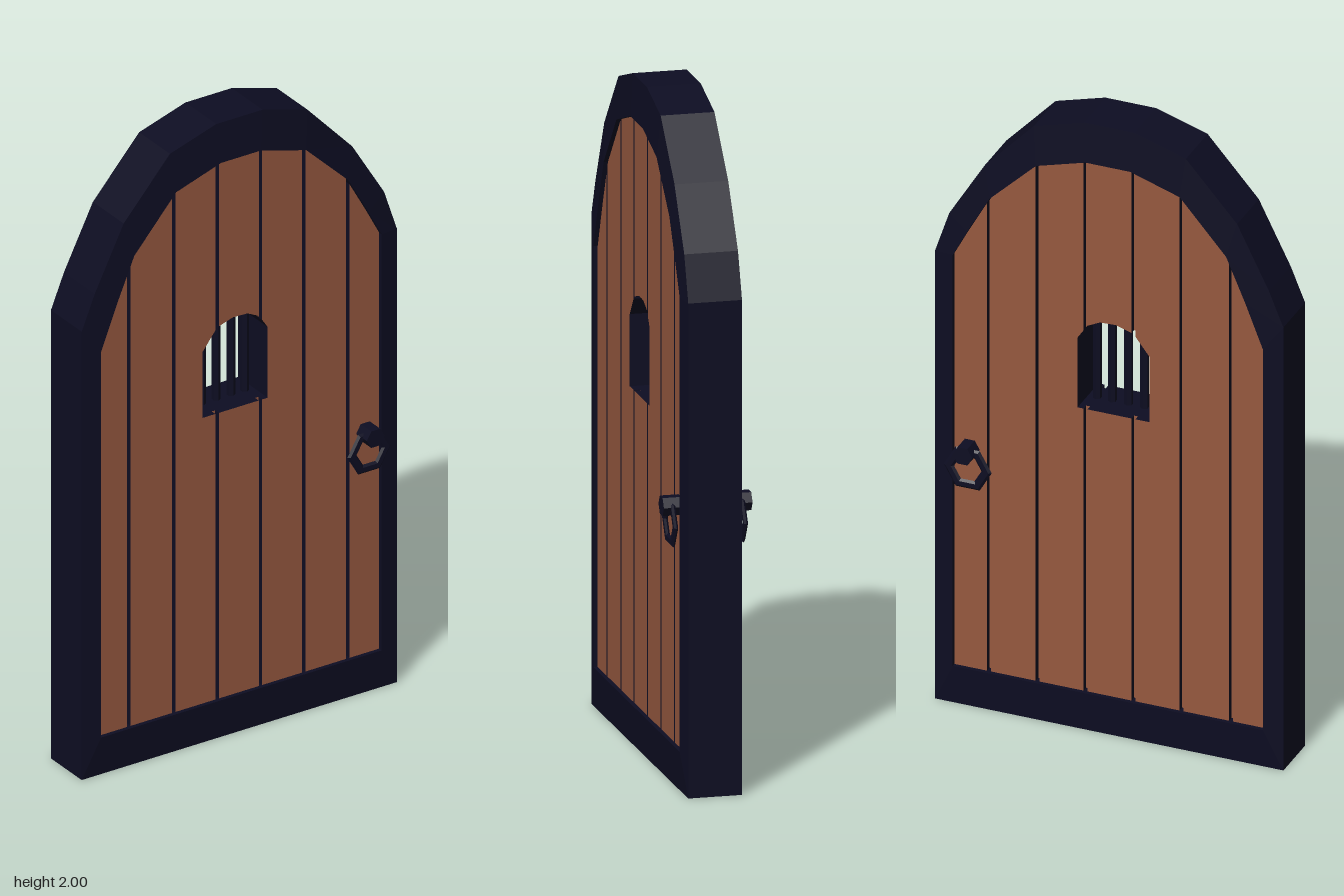
import * as THREE from 'three';

const iron = new THREE.MeshStandardMaterial({ color: 0x0d0d22, flatShading: true });
iron.name = 'dark iron';
const wood = new THREE.MeshStandardMaterial({ color: 0x96583f, flatShading: true });
wood.name = 'brown wood';

// Outer and inner outlines of the frame, paired point by point, counter-clockwise
const OUTER = [[-0.545, 0], [0.545, 0], [0.545, 1.475], [0.5, 1.61], [0.39, 1.79], [0.235, 1.955],
  [0.08, 2], [-0.08, 2], [-0.24, 1.95], [-0.4, 1.77], [-0.5, 1.57], [-0.545, 1.46]];
const INNER = [[-0.485, 0.125], [0.485, 0.125], [0.485, 1.48], [0.44, 1.565], [0.37, 1.69], [0.225, 1.83],
  [0.07, 1.875], [-0.07, 1.875], [-0.225, 1.825], [-0.37, 1.66], [-0.43, 1.52], [-0.485, 1.38]];

// Height curves, left to right: door arch and window arch
const ARCH = INNER.slice(2).reverse();
const WINDOW = [[-0.125, 1.27], [-0.075, 1.335], [-0.02, 1.352], [0.03, 1.35], [0.07, 1.33], [0.1, 1.285]];
const SILL = 1.055, BASE = 0.12;
const WIN_L = -0.125, WIN_R = 0.1;

function heightAt(curve, x) {
  if (x <= curve[0][0]) return curve[0][1];
  for (let i = 1; i < curve.length; i++) {
    const [ax, ay] = curve[i - 1], [bx, by] = curve[i];
    if (x <= bx) return ay + (by - ay) * (x - ax) / (bx - ax);
  }
  return curve[curve.length - 1][1];
}

// Points of a height curve between two x positions
function section(curve, x0, x1) {
  const inside = curve.filter(([x]) => x > x0 + 1e-4 && x < x1 - 1e-4);
  return [[x0, heightAt(curve, x0)], ...inside, [x1, heightAt(curve, x1)]];
}

// Upright slab between two curves; faces are wood, cut edges are dark
function slab(group, name, bottom, top, halfDepth) {
  const outline = [...bottom, ...[...top].reverse()].map(([x, y]) => new THREE.Vector2(x, y));
  const geo = new THREE.ExtrudeGeometry(new THREE.Shape(outline), { depth: halfDepth * 2, bevelEnabled: false });
  geo.translate(0, 0, -halfDepth);
  const mesh = new THREE.Mesh(geo, [wood, iron]);
  mesh.name = name;
  group.add(mesh);
}

// Vertical strip of the door, split around the window opening
function strip(group, name, x0, x1, halfDepth) {
  const cuts = [x0, ...[WIN_L, WIN_R].filter((c) => c > x0 && c < x1), x1];
  for (let i = 0; i < cuts.length - 1; i++) {
    const a = cuts[i], b = cuts[i + 1], mid = (a + b) / 2;
    const floor = [[a, BASE], [b, BASE]], top = section(ARCH, a, b);
    if (mid > WIN_L && mid < WIN_R) {
      slab(group, name + 'BelowWindow', floor, [[a, SILL], [b, SILL]], halfDepth);
      slab(group, name + 'AboveWindow', section(WINDOW, a, b), top, halfDepth);
    } else {
      slab(group, name, floor, top, halfDepth);
    }
  }
}

// Arched frame: a four-cornered section swept round the paired outlines
function makeFrame() {
  const rings = OUTER.map(([ox, oy], i) => {
    const [ix, iy] = INNER[i];
    return [[ox, oy, 0.08], [ix, iy, 0.09], [ix, iy, -0.09], [ox, oy, -0.08]];
  });
  const pos = [];
  rings.forEach((r, i) => {
    const s = rings[(i + 1) % rings.length];
    for (let k = 0; k < 4; k++) {
      const m = (k + 1) % 4;
      pos.push(...r[k], ...s[k], ...s[m], ...r[k], ...s[m], ...r[m]);
    }
  });
  const geo = new THREE.BufferGeometry();
  geo.setAttribute('position', new THREE.Float32BufferAttribute(pos, 3));
  geo.computeVertexNormals();
  const frame = new THREE.Mesh(geo, iron);
  frame.name = 'frame';
  return frame;
}

// Ring pull hanging from a hexagonal stud, on one side of the door
function makeHandle(side) {
  const handle = new THREE.Group();
  handle.name = side > 0 ? 'frontHandle' : 'backHandle';
  const stud = new THREE.Mesh(new THREE.CylinderGeometry(0.031, 0.031, 0.07, 6), iron);
  stud.name = 'stud';
  stud.rotation.set(Math.PI / 2, Math.PI / 6, 0);
  stud.position.set(0.437, 0.848, side * 0.097);
  const ring = new THREE.Mesh(new THREE.TorusGeometry(0.059, 0.016, 6, 6), iron);
  ring.name = 'ring';
  ring.scale.z = 0.45;
  ring.position.set(0.432, 0.795, side * 0.104);
  handle.add(stud, ring);
  return handle;
}

export function createModel() {
  const door = new THREE.Group();
  door.name = 'archedDoor';
  door.add(makeFrame());

  // Planks with narrow grooves over a thinner core
  const planks = new THREE.Group();
  planks.name = 'planks';
  const seams = [-0.492, -0.38, -0.225, -0.075, 0.075, 0.225, 0.377, 0.492];
  for (let i = 0; i < seams.length - 1; i++) {
    strip(planks, 'plank', seams[i] + 0.006, seams[i + 1] - 0.006, 0.077);
  }
  strip(planks, 'core', -0.485, 0.485, 0.058);
  door.add(planks);

  // Window bars
  const bars = new THREE.Group();
  bars.name = 'windowBars';
  for (const x of [-0.077, -0.027, 0.024, 0.071]) {
    const top = heightAt(WINDOW, x) + 0.01, low = SILL - 0.01;
    const bar = new THREE.Mesh(new THREE.CylinderGeometry(0.013, 0.013, top - low, 6), iron);
    bar.name = 'bar';
    bar.position.set(x, (top + low) / 2, 0);
    bars.add(bar);
  }
  door.add(bars);

  door.add(makeHandle(1), makeHandle(-1));
  return door;
}
